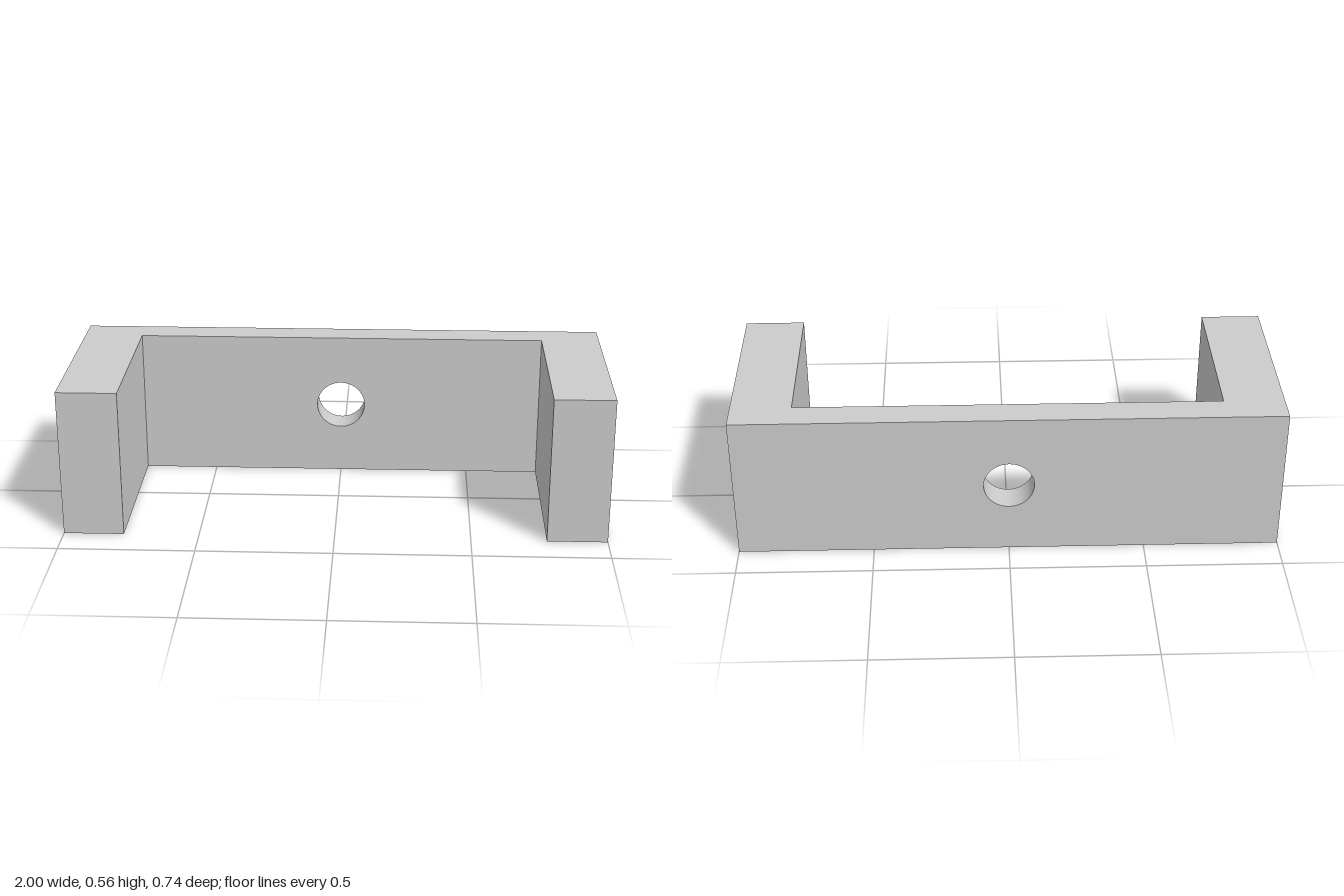
import * as THREE from 'three';

const UNIT = 1 / 27; // half the width is 27 units
const WIDTH = 54 * UNIT, HEIGHT = 15 * UNIT, DEPTH = 20 * UNIT;
const ARM = 6 * UNIT, PLATE = 3 * UNIT, HOLE_RADIUS = 2.5 * UNIT;

export function createModel() {
  const group = new THREE.Group();
  group.name = 'bracket';
  const material = new THREE.MeshStandardMaterial({ color: 0xcccccc });

  const add = (name, geometry, x, y, z) => {
    const mesh = new THREE.Mesh(geometry, material);
    mesh.name = name;
    mesh.position.set(x, y, z);
    group.add(mesh);
  };

  // Back plate between the arms, with a round hole through its centre
  const half = WIDTH / 2 - ARM;
  const outline = new THREE.Shape([
    new THREE.Vector2(-half, 0),
    new THREE.Vector2(half, 0),
    new THREE.Vector2(half, HEIGHT),
    new THREE.Vector2(-half, HEIGHT),
  ]);
  outline.holes.push(new THREE.Path().absarc(0, HEIGHT / 2, HOLE_RADIUS, 0, Math.PI * 2, true));
  const plate = new THREE.ExtrudeGeometry(outline, { depth: PLATE, bevelEnabled: false, curveSegments: 48 });
  add('backPlate', plate, 0, 0, -DEPTH / 2);

  // Thick side arms reaching forward
  for (const [name, side] of [['leftArm', 1], ['rightArm', -1]]) {
    add(name, new THREE.BoxGeometry(ARM, HEIGHT, DEPTH), side * (WIDTH - ARM) / 2, HEIGHT / 2, 0);
  }

  return group;
}
